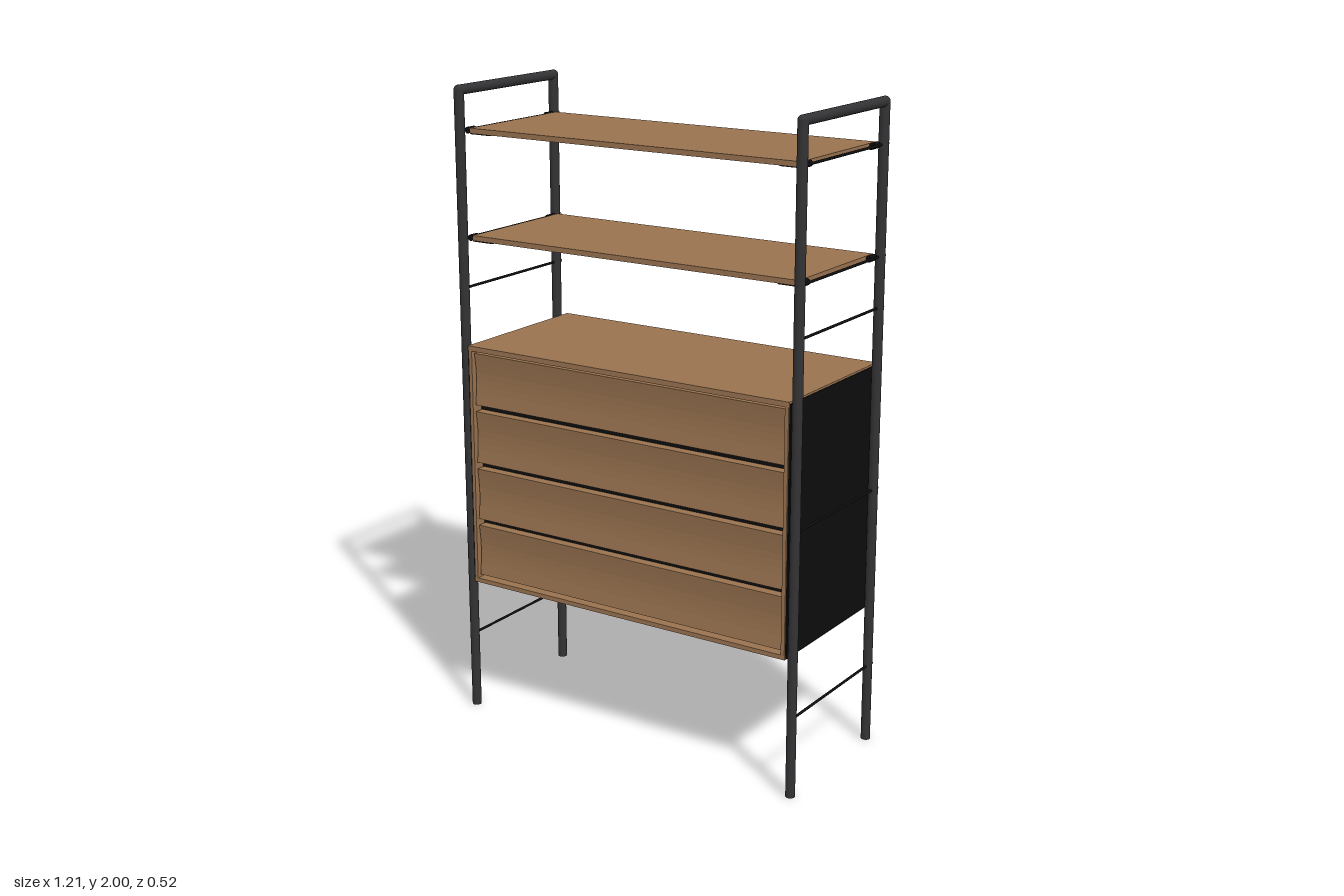
import * as THREE from 'three';

export function createModel() {
  const root = new THREE.Group();
  const material = (name, color) => {
    const m = new THREE.MeshStandardMaterial({ color });
    m.name = name;
    return m;
  };
  const wood = material('oiled wood', 0x997350);
  const steel = material('dark steel', 0x333335);
  const black = material('black', 0x0d0d0d);
  const brass = material('brass', 0x9a7a4c);

  const add = (name, geometry, mat, x = 0, y = 0, z = 0) => {
    const mesh = new THREE.Mesh(geometry, mat);
    mesh.name = name;
    mesh.position.set(x, y, z);
    root.add(mesh);
    return mesh;
  };
  // Box given by its lower and upper corners
  const box = (name, mat, x0, x1, y0, y1, z0, z1) =>
    add(name, new THREE.BoxGeometry(x1 - x0, y1 - y0, z1 - z0), mat,
      (x0 + x1) / 2, (y0 + y1) / 2, (z0 + z1) / 2);
  // Round bar running front to back
  const barZ = (name, mat, r, x, y, z0, z1) => {
    const g = new THREE.CylinderGeometry(r, r, z1 - z0, 16).rotateX(Math.PI / 2);
    return add(name, g, mat, x, y, (z0 + z1) / 2);
  };

  const FRONT = 0.24, BACK = -0.228, TOP = 1.984;

  for (const s of [-1, 1]) {
    const x = s * 0.588;
    // Side frame: two uprights joined by a top rail
    for (const z of [FRONT, BACK]) {
      add('upright', new THREE.CylinderGeometry(0.0155, 0.0145, TOP, 20), steel, x, TOP / 2, z);
      add('frameCorner', new THREE.SphereGeometry(0.0158, 20, 12), steel, x, TOP, z);
    }
    barZ('topRail', steel, 0.0155, x, TOP, BACK, FRONT);

    // Thin cross rods with brass tips behind the rear upright
    for (const y of [0.247, 0.82, 1.382, 1.535, 1.862]) {
      barZ('crossRod', black, 0.004, x, y, -0.246, FRONT);
      barZ('rodTip', brass, 0.006, x, y, -0.252, -0.243);
    }

    // Shelf clamps and the brackets below the boards
    for (const y of [1.535, 1.862]) {
      for (const z of [0.2, -0.19]) {
        barZ('shelfClamp', black, 0.01, s * 0.579, y, z - 0.016, z + 0.016);
        box('shelfBracket', black, s > 0 ? 0.5 : -0.575, s > 0 ? 0.575 : -0.5,
          y - 0.012, y - 0.008, z - 0.01, z + 0.01);
      }
    }

    // Cabinet side: wooden core with a black outer panel
    box('cabinetSide', wood, s > 0 ? 0.556 : -0.568, s > 0 ? 0.568 : -0.556, 0.447, 1.193, -0.25, 0.255);
    box('sidePanel', black, s > 0 ? 0.568 : -0.573, s > 0 ? 0.573 : -0.568, 0.437, 1.2, -0.254, 0.25);
  }

  // Open shelves
  for (const y of [1.535, 1.861]) {
    box('shelf', wood, -0.57, 0.57, y - 0.008, y + 0.008, -0.216, 0.216);
  }

  // Cabinet carcass
  box('cabinetTop', wood, -0.57, 0.57, 1.19, 1.206, -0.26, 0.255);
  box('cabinetBottom', wood, -0.57, 0.57, 0.433, 0.447, -0.26, 0.255);
  box('cabinetBack', wood, -0.57, 0.57, 0.447, 1.19, -0.26, -0.248);
  box('drawerRecess', black, -0.556, 0.556, 0.447, 1.19, 0.2, 0.215);

  // Drawer fronts: slightly hollow boards with finger gaps between them
  const profile = new THREE.Shape();
  const H = 0.165, N = 8;
  profile.moveTo(0.216, 0);
  for (let i = 0; i <= N; i++) {
    const t = i / N;
    profile.lineTo(0.247 - 0.007 * Math.sin(Math.PI * t), H * t);
  }
  profile.lineTo(0.216, H);
  const front = new THREE.ExtrudeGeometry(profile, { depth: 1.104, bevelEnabled: false });
  front.rotateY(-Math.PI / 2); // profile depth now faces +z
  for (let i = 0; i < 4; i++) {
    add('drawerFront', front, wood, 0.552, 0.458 + i * 0.1865, 0);
  }

  return root;
}
